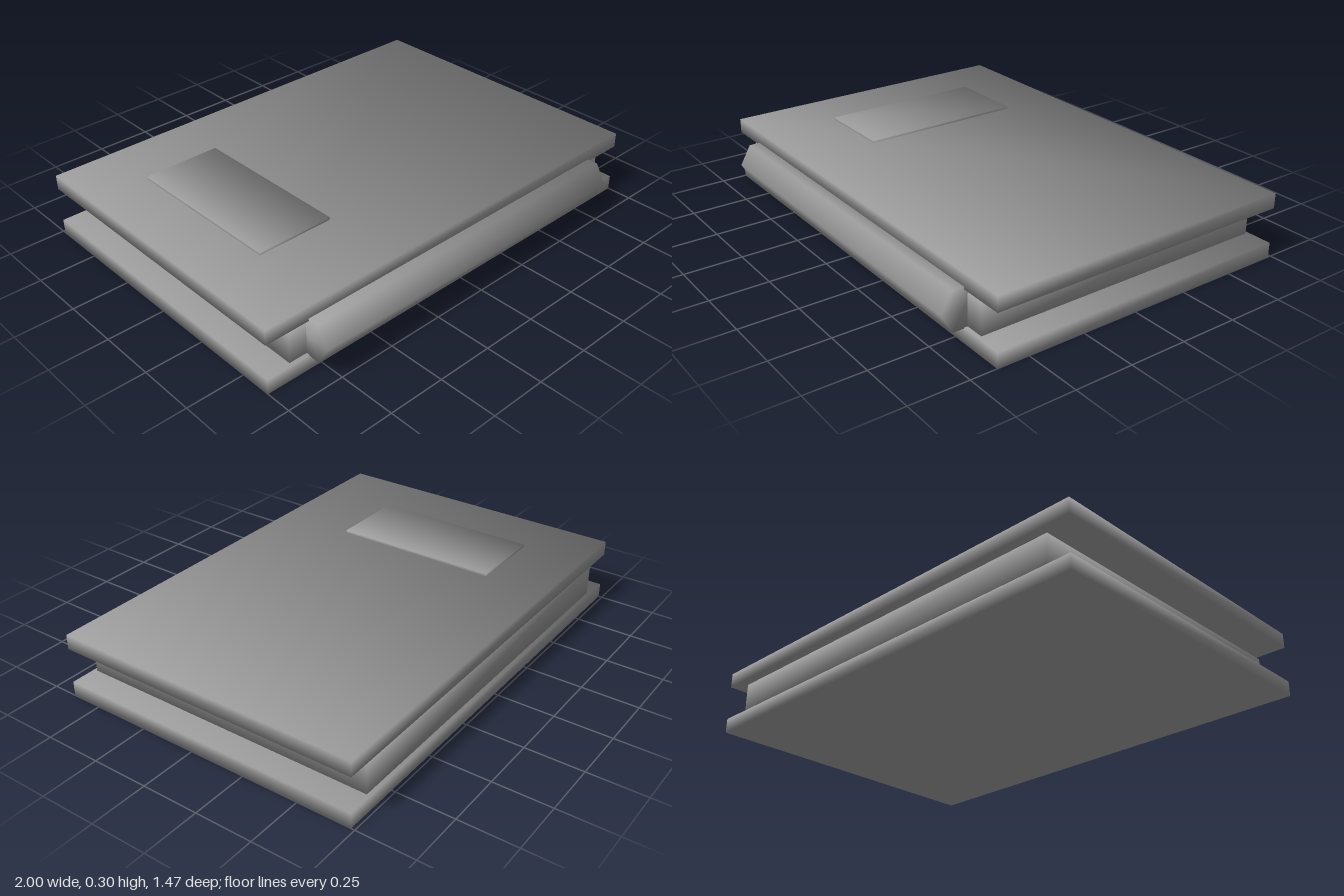
import * as THREE from 'three';
import { mergeVertices } from 'three/addons/utils/BufferGeometryUtils.js';

const material = new THREE.MeshStandardMaterial({ color: 0xa3a3a3 });

// Weld the corners and blend their normals, weighting each face by its angle
// so that thin edges count as much as broad faces
function soften(geometry) {
  geometry.deleteAttribute('normal');
  geometry.deleteAttribute('uv');
  const welded = mergeVertices(geometry, 1e-4);
  const position = welded.attributes.position;
  const index = welded.index;
  const points = Array.from({ length: position.count },
    (_, i) => new THREE.Vector3().fromBufferAttribute(position, i));
  const normals = points.map(() => new THREE.Vector3());
  const faceNormal = new THREE.Vector3();
  for (let i = 0; i < index.count; i += 3) {
    const corners = [0, 1, 2].map((k) => index.getX(i + k));
    THREE.Triangle.getNormal(...corners.map((c) => points[c]), faceNormal);
    corners.forEach((c, k) => {
      const toNext = points[corners[(k + 1) % 3]].clone().sub(points[c]);
      const toLast = points[corners[(k + 2) % 3]].clone().sub(points[c]);
      normals[c].addScaledVector(faceNormal, toNext.angleTo(toLast));
    });
  }
  const flat = normals.flatMap((n) => n.normalize().toArray());
  welded.setAttribute('normal', new THREE.Float32BufferAttribute(flat, 3));
  return welded;
}

function part(name, geometry, x, y, z) {
  const mesh = new THREE.Mesh(soften(geometry), material);
  mesh.name = name;
  mesh.position.set(x, y, z);
  return mesh;
}

// Box given by its limits on each axis
function slab(name, [x0, x1], [y0, y1], [z0, z1]) {
  const box = new THREE.BoxGeometry(x1 - x0, y1 - y0, z1 - z0);
  return part(name, box, (x0 + x1) / 2, (y0 + y1) / 2, (z0 + z1) / 2);
}

export function createModel() {
  const book = new THREE.Group();
  book.name = 'book';

  // Two equal covers with the narrower page block between them
  const coverX = [-1, 1], coverZ = [-0.735, 0.638];
  book.add(slab('bottomCover', coverX, [0, 0.065], coverZ));
  book.add(slab('topCover', coverX, [0.22, 0.285], coverZ));
  book.add(slab('pages', [-0.886, 0.886], [0.06, 0.2], [-0.72, 0.622]));

  // Thin label plate on the top cover
  book.add(slab('coverLabel', [-0.737, -0.387], [0.27, 0.296], [-0.455, 0.285]));

  // Six-sided spine along the front edge
  const spine = new THREE.CylinderGeometry(0.098, 0.098, 1.61, 6).rotateZ(Math.PI / 2);
  book.add(part('spine', spine, 0, 0.146, 0.637));

  return book;
}
